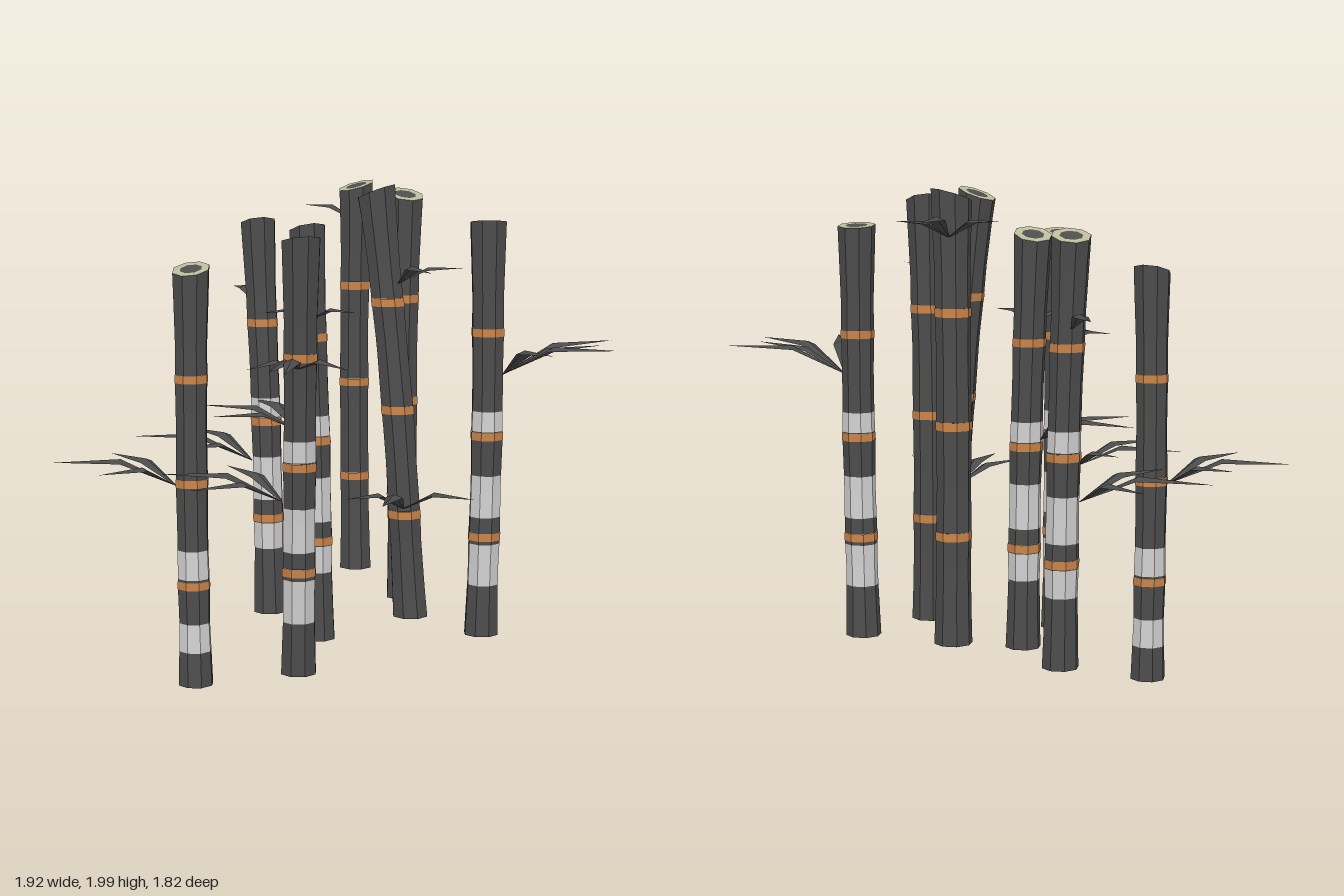
import * as THREE from 'three';

const mat = (name, color, side = THREE.FrontSide) => {
  const m = new THREE.MeshStandardMaterial({ color, side });
  m.name = name;
  return m;
};
const mats = {
  bark: mat('charcoal bark', 0x4d4d4d),
  leaf: mat('charcoal leaf', 0x4a4a4a, THREE.DoubleSide),
  band: mat('copper band', 0xcc8549),
  pale: mat('pale grey band', 0xd2d2d2),
  rim: mat('pale cut wood', 0xbaba9a),
};

const SIDES = 8;
const BAND = 0.016; // half height of a node band
const NODES = [0.41, 0.82, 1.235]; // node heights above the foot
const WHITE = [[0.21, 0.38], [0.49, 0.66], [0.84, 0.92]];
const WHITE_HIGH = [[0.28, 0.39], [0.49, 0.67], [0.84, 0.92]];
const WHITE_LOW = [[0.14, 0.255], [0.435, 0.55]];

const meshFrom = (name, points, material) => {
  const g = new THREE.BufferGeometry().setFromPoints(points);
  g.computeVertexNormals(); // unindexed, so the facets stay flat
  const mesh = new THREE.Mesh(g, material);
  mesh.name = name;
  return mesh;
};

// Flares at the foot and the cut top, swells a little towards each node
const radiusAt = (h, height) => {
  const flare = Math.max(0, 1 - h / 0.25) * 0.008 + Math.max(0, 1 - (height - h) / 0.35) * 0.012;
  const swell = Math.max(...NODES.map((n) => Math.max(0, 1 - Math.abs(h - n) / 0.14))) * 0.003;
  return 0.064 + flare + swell;
};

// One stalk along a curve; tilt is the slope of its cut top in x and z
function buildStalk(curve, height, tilt, whites) {
  const group = new THREE.Group();
  group.name = 'stalk';
  const ring = (h, radius, cut = false) => {
    const c = curve.getPoint(h / height);
    return Array.from({ length: SIDES }, (_, i) => {
      const a = ((i + 0.5) / SIDES) * Math.PI * 2;
      const dx = Math.cos(a) * radius, dz = Math.sin(a) * radius;
      return new THREE.Vector3(c.x + dx, c.y - (cut ? tilt[0] * dx + tilt[1] * dz : 0), c.z + dz);
    });
  };
  const quads = (low, up, out) => low.forEach((p, i) => {
    const n = (i + 1) % SIDES;
    out.push(low[n], p, up[i], low[n], up[i], up[n]);
  });
  const fan = (rim, c, up, out) => rim.forEach((p, i) => {
    const q = rim[(i + 1) % SIDES];
    out.push(c, up ? q : p, up ? p : q);
  });

  // Wall pieces between successive levels, sorted by colour
  const levels = [0, 0.12, 0.3, 0.6, 0.74, 1.03, 1.1, 1.37, height - 0.12, height];
  NODES.forEach((n) => levels.push(n - BAND, n + BAND));
  whites.forEach((w) => levels.push(...w));
  levels.sort((a, b) => a - b);
  const culm = [], nodeBands = [], paleBands = [];
  for (let i = 0; i < levels.length - 1; i++) {
    const [a, b] = [levels[i], levels[i + 1]];
    if (b - a < 1e-4) continue;
    const mid = (a + b) / 2;
    const isNode = NODES.some((n) => Math.abs(mid - n) < BAND);
    const isWhite = whites.some((w) => mid > w[0] && mid < w[1]);
    const extra = isNode ? 0.002 : 0;
    quads(ring(a, radiusAt(a, height) + extra), ring(b, radiusAt(b, height) + extra, b === height),
      isNode ? nodeBands : isWhite ? paleBands : culm);
  }
  fan(ring(0, radiusAt(0, height)), curve.getPoint(0), false, culm);

  // Cut top: pale rim around a dark core
  const inner = ring(height, 0.045, true), rim = [], core = [];
  quads(ring(height, radiusAt(height, height), true), inner, rim);
  fan(inner, curve.getPoint(1), true, core);

  group.add(meshFrom('culm', culm, mats.bark), meshFrom('nodeBands', nodeBands, mats.band));
  if (whites.length) group.add(meshFrom('paleBands', paleBands, mats.pale));
  group.add(meshFrom('cutRim', rim, mats.rim), meshFrom('cutCore', core, mats.bark));
  return group;
}

// Lance-shaped leaf: thin stem, wide folded middle, drooping tip
function buildLeaf(base, dir) {
  const side = new THREE.Vector3(-dir.z, 0, dir.x).normalize();
  const section = (t, w, lift) => [-1, 0, 1].map((s) =>
    base.clone().addScaledVector(dir, t).addScaledVector(side, s * w)
      .add(new THREE.Vector3(0, lift - Math.abs(s) * w * 0.4, 0)));
  const length = dir.length();
  const rows = [section(0, 0.004, 0), section(0.45, 0.018 + length * 0.04, length * 0.13), section(1, 0.001, 0)];
  const pts = [];
  for (let r = 0; r < 2; r++) for (let k = 0; k < 2; k++) {
    const [a, b, c, d] = [rows[r][k], rows[r][k + 1], rows[r + 1][k + 1], rows[r + 1][k]];
    pts.push(a, c, b, a, d, c);
  }
  return meshFrom('leaf', pts, mats.leaf);
}

// Sprig growing from the stalk at height y; leaves are [heading in degrees, reach]
function buildSprig(curve, { y, rise = 0.09, leaves }) {
  const group = new THREE.Group();
  group.name = 'leafSprig';
  const heading = (deg) => {
    const a = THREE.MathUtils.degToRad(deg);
    return new THREE.Vector3(Math.cos(a), 0, Math.sin(a));
  };
  const [foot, top] = [curve.getPoint(0), curve.getPoint(1)];
  const mean = leaves.reduce((sum, [deg]) => sum + deg, 0) / leaves.length;
  const base = curve.getPoint((y - foot.y) / (top.y - foot.y)).addScaledVector(heading(mean), 0.065);
  base.y = y;
  for (const [deg, reach] of leaves) {
    const dir = heading(deg).multiplyScalar(reach);
    dir.y = rise;
    group.add(buildLeaf(base, dir));
  }
  return group;
}

export function createModel() {
  const model = new THREE.Group();
  model.name = 'bambooGrove';

  // A stalk from foot to top, bowed sideways at mid height, with its sprigs
  const grow = (foot, top, bow, tilt, whites, ...sprigs) => {
    const a = new THREE.Vector3(...foot), b = new THREE.Vector3(...top);
    const mid = a.clone().lerp(b, 0.5);
    mid.x += bow;
    const curve = new THREE.CatmullRomCurve3([a, mid, b]);
    const stalk = buildStalk(curve, b.y - a.y, tilt, whites);
    sprigs.forEach((s) => stalk.add(buildSprig(curve, s)));
    model.add(stalk);
  };

  // Back row
  grow([-0.39, 0.31, -0.52], [-0.39, 1.97, -0.52], -0.01, [-0.06, 0.3], [],
    { y: 1.82, rise: 0.06, leaves: [[227, 0.38], [270, 0.22], [172, 0.27]] });
  grow([0.08, 0.29, -0.33], [0.055, 1.945, -0.355], -0.012, [0.3, 0.12], []);
  grow([0.405, 0.17, -0.45], [0.41, 1.84, -0.46], 0.012, [-0.1, -0.1], WHITE,
    { y: 1.24, rise: 0.12, leaves: [[-63, 0.47], [-37, 0.38], [-14, 0.49], [26, 0.46]] });

  // Middle row
  grow([-0.475, 0.17, -0.09], [-0.55, 1.82, -0.1], 0.012, [-0.3, -0.15], WHITE_HIGH,
    { y: 1.48, rise: 0.05, leaves: [[204, 0.32]] },
    { y: 0.82, leaves: [[183, 0.42], [143, 0.51], [91, 0.4]] });
  grow([-0.065, 0.15, 0.02], [-0.11, 1.81, 0.035], 0.012, [-0.35, -0.12], WHITE_HIGH,
    { y: 1, rise: 0.08, leaves: [[159, 0.43], [110, 0.37], [196, 0.43]] },
    { y: 1.46, rise: 0.04, leaves: [[-2, 0.24], [45, 0.31], [90, 0.25]] });
  grow([0.375, 0.31, -0.06], [0.25, 1.965, 0.01], 0.02, [-0.35, 0.15], [],
    { y: 1.62, rise: 0.06, leaves: [[-35, 0.25], [27, 0.36]] },
    { y: 0.75, rise: 0.08, leaves: [[-2, 0.35], [58, 0.38], [88, 0.32]] });

  // Front row
  grow([-0.295, 0, 0.48], [-0.305, 1.665, 0.475], -0.01, [0.15, 0.28], WHITE_LOW,
    { y: 0.81, leaves: [[174, 0.36], [134, 0.48], [87, 0.39]] });
  grow([0.205, 0.13, 0.385], [0.32, 1.8, 0.475], 0, [-0.2, -0.08], WHITE,
    { y: 1.33, rise: 0.02, leaves: [[86, 0.27], [63, 0.31], [51, 0.35], [4, 0.28]] },
    { y: 0.81, leaves: [[186, 0.36], [145, 0.47], [96, 0.42]] });

  return model;
}
